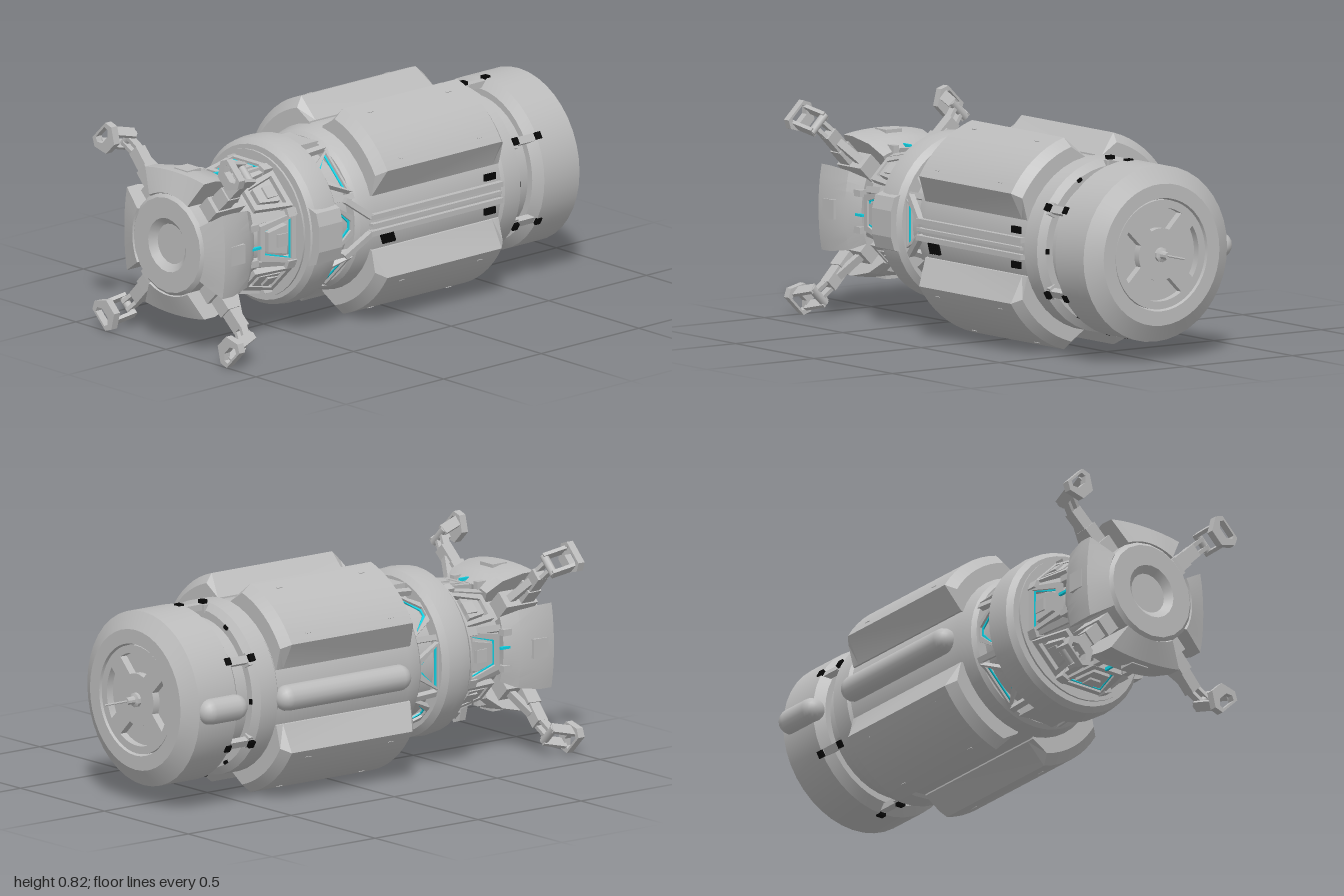
import * as THREE from 'three';
import { toCreasedNormals } from 'three/addons/utils/BufferGeometryUtils.js';

const mat = (name, color) => Object.assign(new THREE.MeshStandardMaterial({ color }), { name });
const V = (x, y) => new THREE.Vector2(x, y);
const DEG = Math.PI / 180;

export function createModel() {
  const hull = mat('hull grey', 0xbcbcbc);
  const black = mat('vent black', 0x050505);
  const cyan = mat('trim cyan', 0x10d4e6);

  const model = new THREE.Group();
  model.name = 'spacecraft';
  const ship = new THREE.Group();
  ship.name = 'hullAxis';
  ship.position.y = 0.408;
  model.add(ship);

  const add = (parent, name, geo, material = hull, x = 0, y = 0, z = 0) => {
    const m = new THREE.Mesh(geo, material);
    m.name = name;
    m.position.set(x, y, z);
    parent.add(m);
    return m;
  };
  const box = (parent, name, w, h, d, x, y, z, material = hull) =>
    add(parent, name, new THREE.BoxGeometry(w, h, d), material, x, y, z);

  // Group whose local +y points outward at angle a around the hull
  const radial = (name, a) => {
    const g = new THREE.Group();
    g.name = name;
    g.rotation.z = (a - 90) * DEG;
    ship.add(g);
    return g;
  };

  // Solid of revolution along z from [radius, z] pairs, back to front
  const turned = (name, pts, sides = 40) => {
    const geo = new THREE.LatheGeometry(pts.map(([r, z]) => V(r, z)), sides);
    geo.rotateX(Math.PI / 2);
    return add(ship, name, toCreasedNormals(geo, 25 * DEG));
  };

  // Capped skin over equal-length closed cross-sections
  const loft = (rings) => {
    const n = rings[0].length, tris = [];
    for (let i = 0; i + 1 < rings.length; i++)
      for (let j = 0; j < n; j++) {
        const k = (j + 1) % n, A = rings[i], B = rings[i + 1];
        tris.push([A[j], A[k], B[k]], [A[j], B[k], B[j]]);
      }
    [rings[0], rings[rings.length - 1]].forEach((R, e) => {
      const c = R.reduce((s, p) => s.add(p), new THREE.Vector3()).divideScalar(n);
      R.forEach((p, j) => tris.push(e ? [c, p, R[(j + 1) % n]] : [c, R[(j + 1) % n], p]));
    });
    const volume = tris.reduce((s, [a, b, c]) => s + a.dot(b.clone().cross(c)), 0);
    if (volume < 0) tris.forEach((t) => t.reverse());
    const geo = new THREE.BufferGeometry().setFromPoints(tris.flat());
    return toCreasedNormals(geo, 25 * DEG);
  };

  // Beam from [r, z] to [r, z] in a radial group's own plane
  const beam = (g, name, p, q, w, t, x = 0) => {
    const dy = q[0] - p[0], dz = q[1] - p[1];
    const m = box(g, name, w, Math.hypot(dy, dz), t, x, (p[0] + q[0]) / 2, (p[1] + q[1]) / 2);
    m.rotation.x = Math.atan2(dz, dy);
    return m;
  };

  // Flat outline with an optional hole
  const plate = (outer, hole, depth) => {
    const s = new THREE.Shape(outer.map((p) => V(...p)));
    if (hole) s.holes.push(new THREE.Path(hole.map((p) => V(...p))));
    return new THREE.ExtrudeGeometry(s, { depth, bevelEnabled: false });
  };

  // Trapezoid frame lying on the hull with a cyan inner edge
  const trap = (a, b, lo, hi, t = 0) => [[-a + t, lo + t], [a - t, lo + t], [b - t, hi - t], [-b + t, hi - t]];
  const framedWindow = (g, name, dims, border, trim, r, z, tilt) => {
    const w = new THREE.Group();
    w.name = name;
    w.position.set(0, r, z);
    w.rotation.x = Math.PI / 2 + tilt;
    g.add(w);
    const inner = trap(...dims, border);
    add(w, 'frame', plate(trap(...dims), inner, 0.022));
    if (trim) add(w, 'windowTrim', plate(inner, trap(...dims, border + trim), 0.005), cyan, 0, 0, 0.01);
    return w;
  };

  // Main hull sections
  turned('rearDrum', [[0, -0.81], [0.205, -0.81], [0.215, -0.85], [0.27, -0.85], [0.335, -0.81],
    [0.335, -0.63], [0.3, -0.6], [0.27, -0.6]]);
  turned('rearNeck', [[0.275, -0.61], [0.275, -0.5]]);
  turned('mainBody', [[0.27, -0.53], [0.305, -0.53], [0.333, -0.51], [0.333, -0.43], [0.322, -0.42],
    [0.322, 0.22], [0.305, 0.285], [0.29, 0.3], [0.24, 0.3]]);
  turned('trussCore', [[0.25, 0.29], [0.25, 0.42]]);
  turned('collar', [[0.25, 0.395], [0.3, 0.395], [0.322, 0.415], [0.326, 0.47], [0.32, 0.515],
    [0.3, 0.535], [0.225, 0.535]]);
  turned('collarFlange', [[0.22, 0.548], [0.285, 0.548], [0.285, 0.556], [0.22, 0.556]]);
  turned('forwardNeck', [[0.215, 0.53], [0.215, 0.62], [0.185, 0.75], [0.185, 0.86]]);
  turned('noseDisc', [[0.19, 0.8], [0.2, 0.82], [0.2, 0.98], [0.185, 0.994], [0.105, 0.994],
    [0.078, 0.97], [0, 0.97]], 20);

  // Rear wheel plate with four arc openings
  const wheel = new THREE.Shape().absarc(0, 0, 0.208, 0, Math.PI * 2, false);
  for (let k = 0; k < 4; k++) {
    const a = k * Math.PI / 2, h = new THREE.Path();
    h.absarc(0, 0, 0.178, a - 0.58, a + 0.58, false);
    h.absarc(0, 0, 0.1, a + 0.42, a - 0.42, true);
    h.closePath();
    wheel.holes.push(h);
  }
  add(ship, 'rearWheel', new THREE.ExtrudeGeometry(wheel, { depth: 0.03, bevelEnabled: false, curveSegments: 24 }),
    hull, 0, 0, -0.843);
  turned('antenna', [[0, -1], [0.004, -1], [0.004, -0.893], [0.014, -0.893], [0.016, -0.86],
    [0.028, -0.855], [0.028, -0.84]], 10);

  // Four side pods with chamfered ends
  const podRing = (z, cap, sx, sy) => {
    const pts = [[0.035, 0.3], [0.037, 0.325]];
    for (let i = 0; i <= 8; i++) {
      const a = (74 - i * 5.5) * DEG;
      pts.push([0.419 * Math.cos(a), 0.419 * Math.sin(a)]);
    }
    pts.push([0.31, 0.107], [0.28, 0.1]);
    return pts.map(([x, y]) => {
      const s = Math.min(1, cap / Math.hypot(x, y));
      return new THREE.Vector3(x * s * sx, y * s * sy, z);
    });
  };
  for (const sx of [1, -1]) for (const sy of [1, -1]) {
    const rings = [[-0.418, 0.385], [-0.385, 0.5], [0.2, 0.5], [0.232, 0.38]];
    add(ship, 'sidePod', loft(rings.map(([z, c]) => podRing(z, c, sx, sy))));
    for (const a of [35, 66]) {
      const g = radial('podLatches', Math.atan2(sy * Math.sin(a * DEG), sx * Math.cos(a * DEG)) / DEG);
      for (const z of [0.11, -0.29]) box(g, 'podLatch', 0.006, 0.004, 0.025, 0, 0.419, z);
    }
  }

  // Rails, forked braces and vents in the left channel
  const left = radial('leftChannel', 0);
  for (const s of [1, -1]) {
    box(left, 'rail', 0.02, 0.03, 0.67, s * 0.032, 0.325, -0.08);
    const fork = box(left, 'railFork', 0.022, 0.024, 0.14, s * 0.07, 0.308, 0.298);
    fork.rotation.set(0.25, s * 0.65, 0, 'YXZ');
    box(left, 'vent', 0.026, 0.008, 0.055, s * 0.067, 0.321, -0.363, black);
  }
  box(left, 'centreRail', 0.012, 0.024, 0.66, 0, 0.327, -0.08);
  for (let i = 0; i < 5; i++)
    box(left, 'grille', 0.042, 0.008, 0.011, 0.066, 0.321, 0.132 + i * 0.0135, black).rotation.y = 0.35;

  // Raised housing on the left of the collar
  const housing = [[-0.115, 0.28], [-0.1, 0.325], [-0.05, 0.341], [0.05, 0.341], [0.1, 0.325], [0.115, 0.28]];
  add(left, 'collarHousing', plate(housing, null, 0.12), hull, 0, 0, 0.41);

  // Tank and drum blister on the right side
  const capsule = (name, len, z) => {
    const geo = new THREE.CapsuleGeometry(0.05, len, 6, 16);
    geo.rotateX(Math.PI / 2);
    add(ship, name, geo, hull, -0.333, 0, z);
  };
  capsule('sideTank', 0.54, -0.115);
  capsule('drumBlister', 0.12, -0.7);

  // Struts and black clips bridging the rear neck
  for (let k = 0; k < 6; k++) {
    const g = radial('neckStrut', 30 + k * 60);
    beam(g, 'strut', [0.315, -0.64], [0.315, -0.51], 0.03, 0.024);
    for (const z of [-0.638, -0.522]) {
      box(g, 'strutFoot', 0.05, 0.03, 0.03, 0, 0.31, z);
      box(g, 'clip', 0.028, 0.018, 0.025, 0, 0.332, z, black);
    }
    box(radial('neckClip', k * 60), 'smallClip', 0.02, 0.012, 0.014, 0, 0.3, -0.53, black);
  }

  // Triangular windows with cyan edging ahead of the main body
  for (let k = 0; k < 8; k++) {
    const g = radial('truss', k * 45);
    if (k % 4 === 2) box(g, 'trussPanel', 0.16, 0.03, 0.12, 0, 0.272, 0.35);
    else framedWindow(g, 'trussWindow', k % 2 ? [0.1, 0.034, 0, 0.115] : [0.034, 0.1, 0, 0.115], 0.017, 0.007, 0.281, 0.293, 0);
    const post = radial('trussPost', k * 45 + 22.5);
    beam(post, 'trussStrut', [0.287, 0.29], [0.278, 0.41], 0.022, 0.022);
  }

  // Framed bays around the forward neck
  for (let k = 0; k < 8; k++) {
    const main = k % 2 === 0, w = main ? 1 : 0.8;
    const g = radial('neckBay', k * 45);
    const bay = framedWindow(g, 'bayFrame', [0.1 * w, 0.068 * w, 0, 0.165], 0.02, main ? 0.005 : 0, 0.252, 0.565, 0.12);
    add(bay, 'bayPanel', plate(trap(0.057 * w, 0.038 * w, 0.042, 0.128), null, 0.045));
    box(g, 'bayHatch', 0.05, 0.03, 0.05, 0, 0.235, 0.63);
    const post = radial('bayPost', k * 45 + 22.5);
    beam(post, 'post', [0.25, 0.55], [0.205, 0.76], 0.025, 0.03);
    box(post, 'postBlock', 0.035, 0.04, 0.04, 0, 0.25, 0.585);
  }

  // Curved nose panels between the legs, flaring toward their corners
  const profile = [[0.19, 0.765], [0.225, 0.755], [0.262, 0.81], [0.28, 0.9], [0.28, 0.955], [0.2, 0.988], [0.19, 0.97]];
  for (let k = 0; k < 4; k++) {
    const g = radial('noseQuarter', k * 90);
    const rings = [];
    for (let i = -4; i <= 4; i++) {
      const a = i * 7.9 * DEG;
      rings.push(profile.map(([r, z]) => {
        const f = r + (r - 0.19) * 0.35 * (i / 4) ** 2;
        return new THREE.Vector3(f * Math.sin(a), f * Math.cos(a), z);
      }));
    }
    add(g, 'nosePanel', loft(rings));
    box(g, 'noseHatch', 0.075, 0.016, 0.07, 0, 0.276, 0.89);
    box(g, 'noseTrim', 0.01, 0.012, 0.045, 0.012, 0.234, 0.755, cyan);
    for (const s of [1, -1]) box(g, 'noseLug', 0.025, 0.03, 0.04, s * 0.07, 0.225, 0.765);
  }

  // Four folding legs with open feet
  const foot = [[-0.05, 0.527], [-0.066, 0.495], [-0.032, 0.438], [0.032, 0.438], [0.066, 0.495], [0.05, 0.527]];
  const footHole = [[-0.034, 0.518], [-0.041, 0.5], [-0.022, 0.48], [0.022, 0.48], [0.041, 0.5], [0.034, 0.518]];
  for (let k = 0; k < 4; k++) {
    const g = radial('leg', 45 + k * 90);
    box(g, 'shoulder', 0.072, 0.09, 0.15, 0, 0.215, 0.86);
    beam(g, 'upperArm', [0.2, 0.89], [0.33, 0.885], 0.06, 0.06);
    beam(g, 'lowerArm', [0.32, 0.885], [0.41, 0.88], 0.052, 0.045);
    beam(g, 'brace', [0.2, 0.8], [0.36, 0.865], 0.03, 0.025);
    for (const s of [1, -1]) {
      beam(g, 'ankleRod', [0.395, 0.88], [0.465, 0.9], 0.015, 0.03, s * 0.018);
      beam(g, 'footSide', [0.46, 0.885], [0.49, 0.98], 0.014, 0.04, s * 0.04);
    }
    const pin = add(g, 'anklePin', new THREE.CylinderGeometry(0.016, 0.016, 0.09, 10), hull, 0, 0.462, 0.893);
    pin.rotation.z = Math.PI / 2;
    add(g, 'foot', plate(foot, footHole, 0.03), hull, 0, 0, 0.97);
  }
  return model;
}
